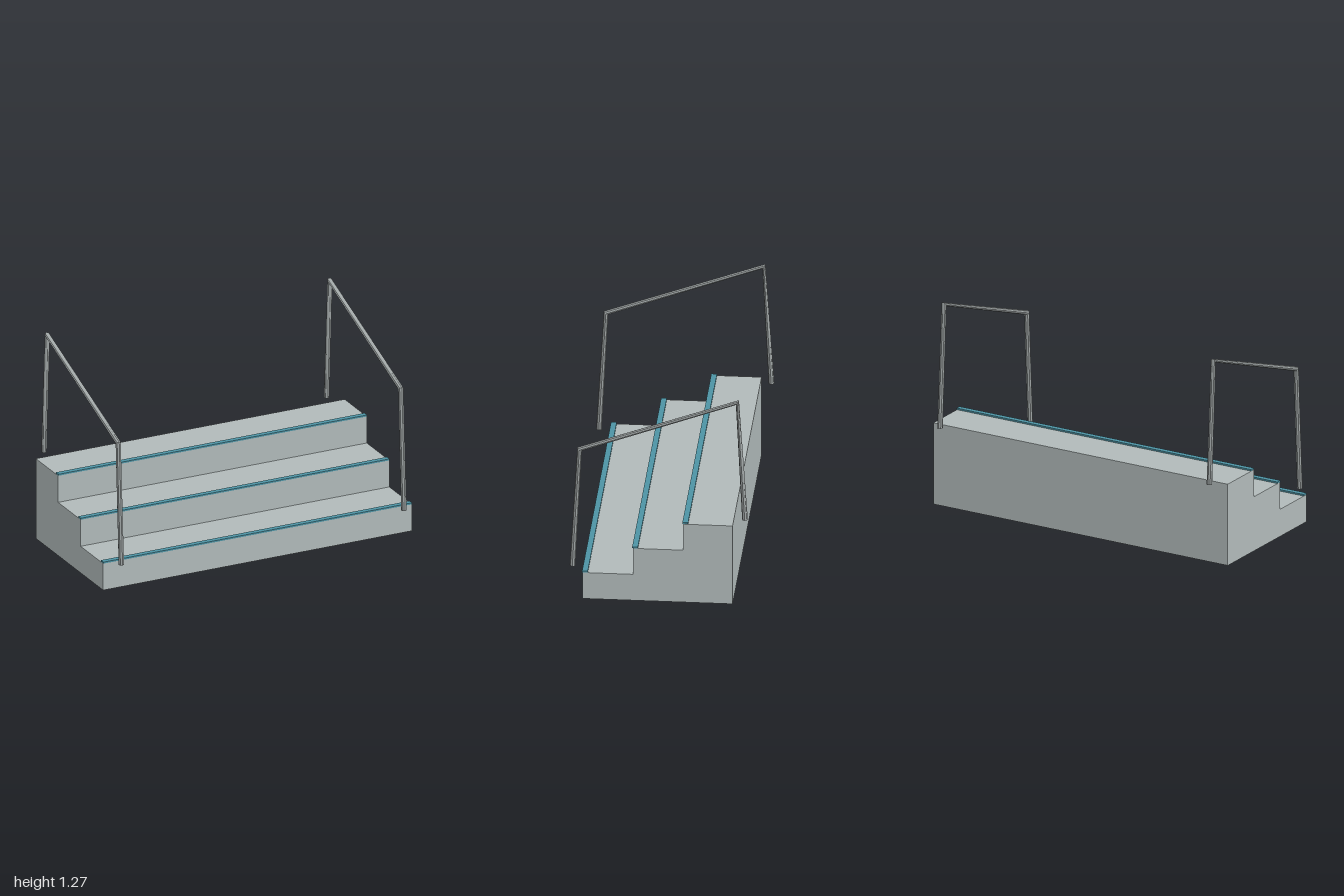
import * as THREE from 'three';

const stepGrey = new THREE.MeshStandardMaterial({ name: 'step grey', color: 0xb1baba });
const railGrey = new THREE.MeshStandardMaterial({ name: 'rail grey', color: 0xa0a6a6 });
const nosingTeal = new THREE.MeshStandardMaterial({ name: 'nosing teal', color: 0x4d93a4 });

const RISE = 0.167, FRONT = 0.436, TREAD = 0.2915, STEPS = 3;

// Stair profile drawn in (-z, y) and extruded across the full width
function stairGeometry() {
  const shape = new THREE.Shape();
  shape.moveTo(-FRONT, 0);
  shape.lineTo(FRONT, 0);
  shape.lineTo(FRONT, RISE * STEPS);
  for (let i = STEPS - 1; i >= 0; i--) {
    const x = -FRONT + i * TREAD;
    shape.lineTo(x, RISE * (i + 1));
    if (i > 0) shape.lineTo(x, RISE * i);
  }
  const geometry = new THREE.ExtrudeGeometry(shape, { depth: 2, bevelEnabled: false });
  return geometry.translate(0, 0, -1).rotateY(Math.PI / 2);
}

// Round bar swept along straight segments, each corner ring facing the mean direction
function barGeometry(points, radius, sides) {
  const xAxis = new THREE.Vector3(1, 0, 0);
  const positions = [], index = [];
  const last = points.length - 1;
  const direction = (i) => points[i + 1].clone().sub(points[i]).normalize();
  points.forEach((p, i) => {
    const t = new THREE.Vector3();
    if (i > 0) t.add(direction(i - 1));
    if (i < last) t.add(direction(i));
    const n = t.normalize().cross(xAxis);
    for (let j = 0; j < sides; j++) {
      const a = (j / sides) * Math.PI * 2;
      const v = p.clone().addScaledVector(xAxis, radius * Math.cos(a)).addScaledVector(n, radius * Math.sin(a));
      positions.push(v.x, v.y, v.z);
    }
  });
  for (let j = 0; j < sides; j++) {
    const k = (j + 1) % sides;
    for (let i = 0; i < last; i++) {
      const a = i * sides, b = a + sides;
      index.push(a + j, a + k, b + j, a + k, b + k, b + j);
    }
    // End caps
    if (j > 0 && k > 0) {
      const e = last * sides;
      index.push(0, k, j, e, e + j, e + k);
    }
  }
  const indexed = new THREE.BufferGeometry();
  indexed.setAttribute('position', new THREE.Float32BufferAttribute(positions, 3));
  indexed.setIndex(index);
  const geometry = indexed.toNonIndexed();
  geometry.computeVertexNormals();
  return geometry;
}

export function createModel() {
  const model = new THREE.Group();
  model.name = 'steps with handrails';
  const add = (name, geometry, material) => {
    const mesh = new THREE.Mesh(geometry, material);
    mesh.name = name;
    model.add(mesh);
    return mesh;
  };

  add('stairBody', stairGeometry(), stepGrey);

  // Coloured strip along the front edge of each tread
  for (let i = 0; i < STEPS; i++) {
    const strip = add('nosing' + (i + 1), new THREE.BoxGeometry(2, 0.0095, 0.033), nosingTeal);
    strip.position.set(0, RISE * (i + 1) + 0.0055, FRONT - i * TREAD - 0.0135);
  }

  // Handrails: front post, sloping rail, rear post
  const path = [[0.17, 0.502], [0.919, 0.461], [1.254, -0.457], [0.504, -0.501]]
    .map(([y, z]) => new THREE.Vector3(0, y, z));
  const bar = barGeometry(path, 0.0165, 8);
  add('leftHandrail', bar, railGrey).position.x = 0.915;
  add('rightHandrail', bar, railGrey).position.x = -0.915;

  return model;
}
